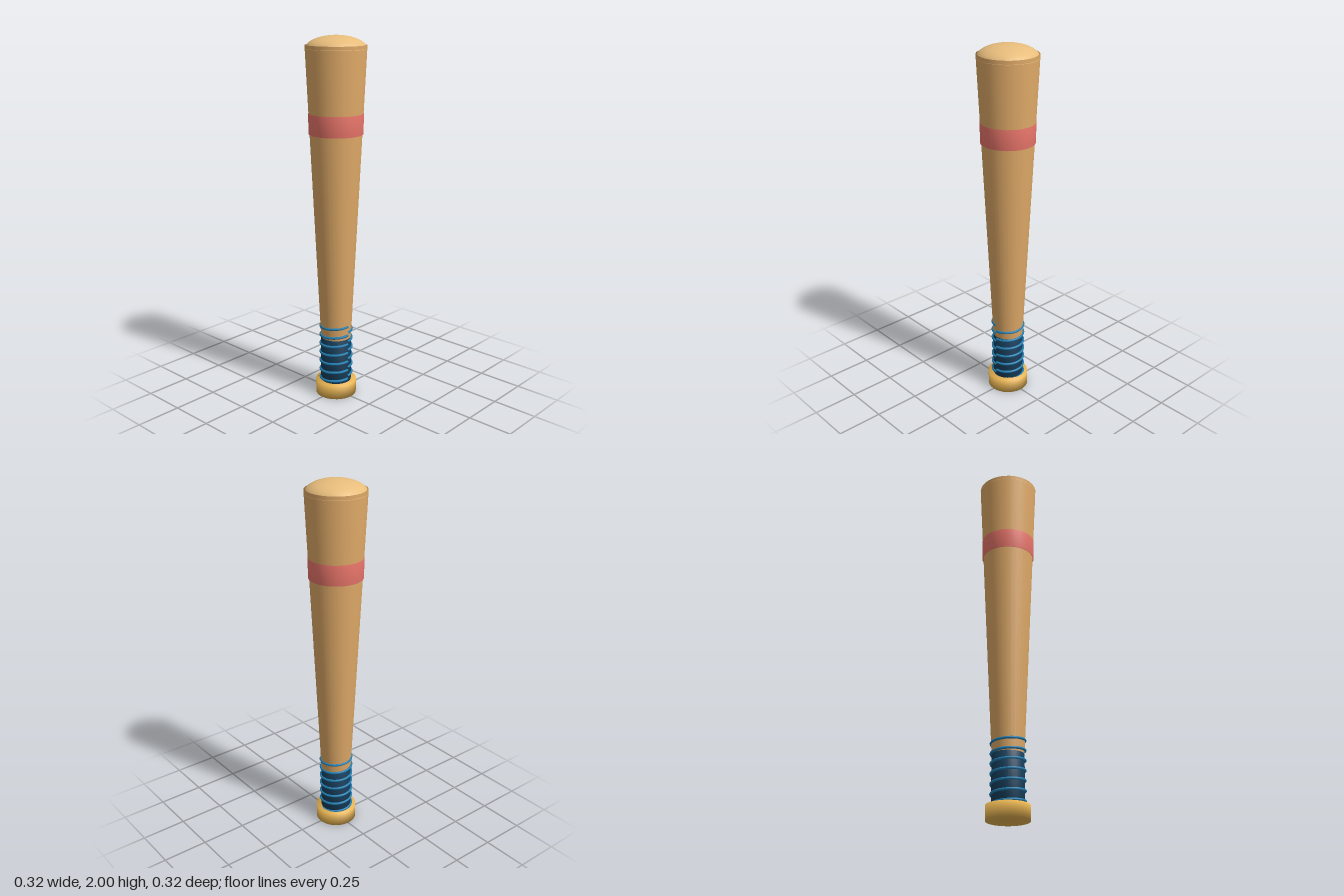
import * as THREE from 'three';

const mat = (color) => new THREE.MeshStandardMaterial({ color });

// Closed solid of revolution from [radius, y] points, listed bottom to top
function turned(name, points, color, segments = 32) {
  const profile = points.map(([r, y]) => new THREE.Vector2(r, y));
  const mesh = new THREE.Mesh(new THREE.LatheGeometry(profile, segments), mat(color));
  mesh.name = name;
  return mesh;
}

// One open turn of cord, starting and ending at the front
class CordTurn extends THREE.Curve {
  constructor(radius, rise) {
    super();
    this.radius = radius;
    this.rise = rise;
  }
  getPoint(t, target = new THREE.Vector3()) {
    const a = t * Math.PI * 2;
    return target.set(Math.sin(a) * this.radius, t * this.rise, Math.cos(a) * this.radius);
  }
}

export function createModel() {
  const bat = new THREE.Group();
  bat.name = 'bat';
  const wood = 0xdca766;

  // Tapered barrel and handle
  bat.add(turned('barrel', [[0, 0.04], [0.07, 0.04], [0.162, 1.95], [0, 1.95]], wood));

  // Shallow domed end
  const dome = [];
  for (let i = 0; i <= 10; i++) {
    const a = (i / 10) * Math.PI / 2;
    dome.push([0.1615 * Math.cos(a), 1.93 + 0.07 * Math.sin(a)]);
  }
  bat.add(turned('endCap', dome, 0xe8bd7c));

  // Painted band
  bat.add(turned('band', [[0.135, 1.49], [0.1455, 1.49], [0.1465, 1.6], [0.135, 1.6]], 0xe8756a));

  // Grip sleeve and end knob
  bat.add(turned('grip', [[0, 0.07], [0.085, 0.07], [0.085, 0.34], [0, 0.34]], 0x173f5c));
  bat.add(turned('knob', [[0, 0], [0.114, 0], [0.114, 0.08], [0, 0.08]], 0xe6b352));

  // Cord turns stacked up the grip
  const wrap = new THREE.Group();
  wrap.name = 'gripCord';
  const turn = new THREE.TubeGeometry(new CordTurn(0.0875, 0.036), 48, 0.007, 8);
  const cordMat = mat(0x2280b4);
  for (let i = 0; i < 7; i++) {
    const mesh = new THREE.Mesh(turn, cordMat);
    mesh.name = 'cordTurn';
    mesh.position.y = 0.381 - i * 0.0525;
    wrap.add(mesh);
  }
  bat.add(wrap);

  return bat;
}
